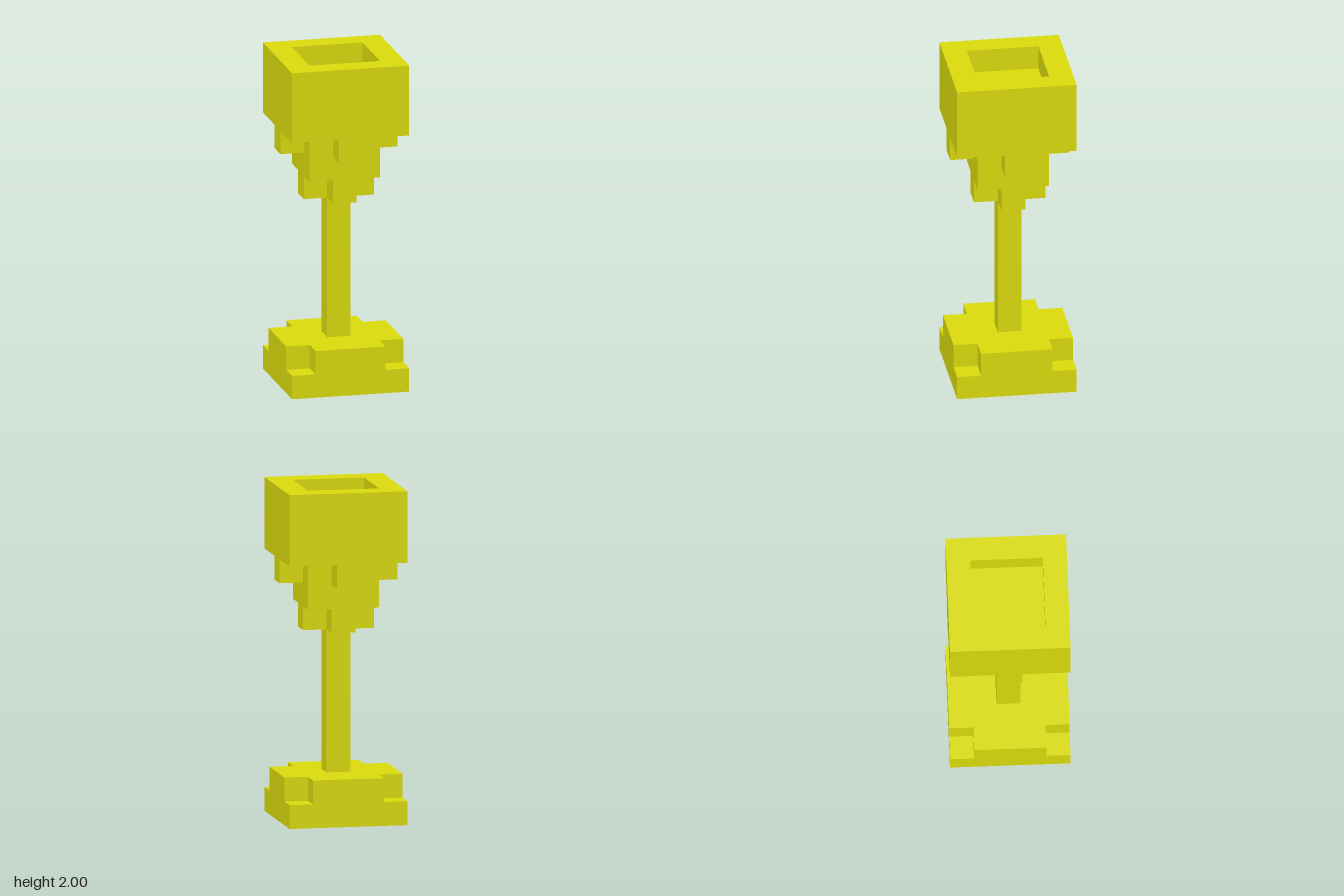
import * as THREE from 'three';

const U = 1 / 7; // the cup is stacked from cubes of this size

// Four-fold symmetric outline: one quadrant's corners, turned by quarter turns
function outline(quadrant, Type = THREE.Shape) {
  const points = [];
  for (let turn = 0; turn < 4; turn++) {
    for (const [px, py] of quadrant) {
      const [x, y] = [[px, py], [-py, px], [-px, -py], [py, -px]][turn];
      points.push(new THREE.Vector2(x * U, y * U));
    }
  }
  return new Type(points);
}

// Quadrant corners of the plans, in cubes from the centre axis
const square = (h) => [[h, h]];
const notched = (h, arm) => [[h, arm], [arm, arm], [arm, h]];
const steppedCross = [[2.5, 0.5], [1.5, 0.5], [1.5, 1.5], [0.5, 1.5], [0.5, 2.5]];

export function createModel() {
  const group = new THREE.Group();
  const material = new THREE.MeshStandardMaterial({ color: 0xdddd0d, flatShading: true });

  // Raises a plan from one level to another, both counted in cubes
  function layer(name, quadrant, from, to, hole) {
    const shape = outline(quadrant);
    if (hole) shape.holes.push(outline(hole, THREE.Path));
    const geometry = new THREE.ExtrudeGeometry(shape, { depth: (to - from) * U, bevelEnabled: false });
    geometry.rotateX(-Math.PI / 2);
    const mesh = new THREE.Mesh(geometry, material);
    mesh.name = name;
    mesh.position.y = from * U;
    group.add(mesh);
  }

  // Foot with its upper corners cut away, and the slim stem
  layer('footPlate', square(2.5), 0, 1);
  layer('footStep', notched(2.5, 1.5), 1, 2);
  layer('stem', square(0.5), 2, 8);

  // Flare under the cup
  layer('collarCross', notched(1.5, 0.5), 8, 9);
  layer('collarBlock', square(1.5), 9, 10);
  layer('cupBrackets', steppedCross, 10, 11);

  // Cup with a shallow square hollow
  layer('cupBody', square(2.5), 11, 13);
  layer('cupRim', square(2.5), 13, 14, square(1.5));

  return group;
}
